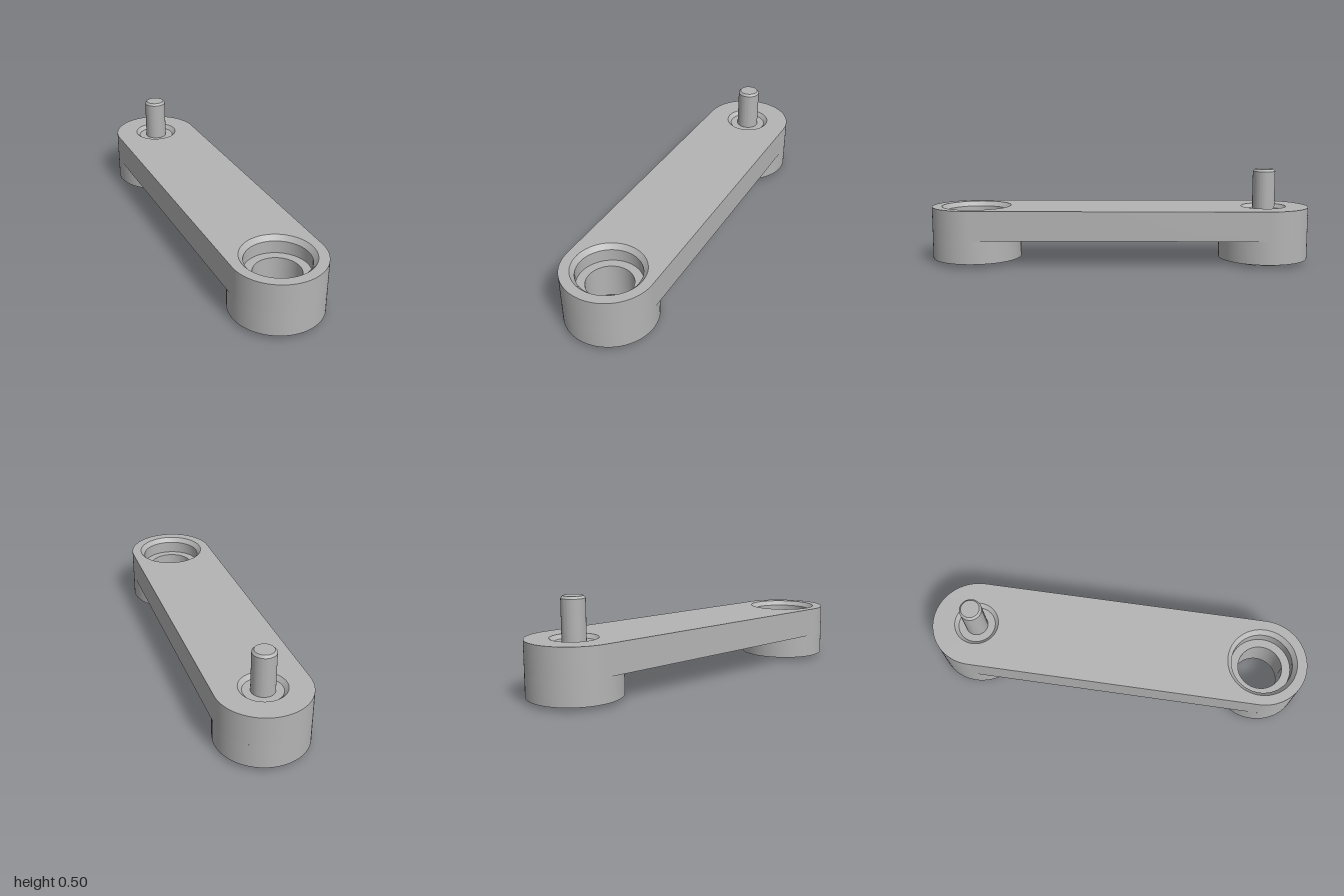
import * as THREE from 'three';
import { toCreasedNormals } from 'three/addons/utils/BufferGeometryUtils.js';

const END = { x: 0.2, z: 0.76 }; // pin end at (+x, -z), socket end mirrored
const R = 0.24;
const SEG = 64;

export function createModel() {
  const model = new THREE.Group();
  model.name = 'crankArm';
  const metal = new THREE.MeshStandardMaterial({ color: 0xb4b4b4 });
  metal.name = 'grey metal';

  const add = (parent, name, geometry) => {
    const mesh = new THREE.Mesh(toCreasedNormals(geometry, 0.4), metal);
    mesh.name = name;
    parent.add(mesh);
    return mesh;
  };
  const lathe = (parent, name, points) =>
    add(parent, name, new THREE.LatheGeometry(points.map(p => new THREE.Vector2(...p)), SEG));
  // Extrude a plan outline (shape y = -z) upward from y0
  const slab = (shape, y0, height) =>
    new THREE.ExtrudeGeometry(shape, { depth: height, bevelEnabled: false, curveSegments: SEG / 2 })
      .rotateX(-Math.PI / 2).translate(0, y0, 0);

  // Arm plate with rounded ends and two openings
  const th = Math.atan2(END.z, END.x);
  const plan = new THREE.Shape();
  plan.absarc(END.x, END.z, R, th - Math.PI / 2, th + Math.PI / 2, false);
  plan.absarc(-END.x, -END.z, R, th + Math.PI / 2, th + Math.PI * 1.5, false);
  plan.closePath();
  for (const [s, r] of [[1, 0.12], [-1, 0.1875]]) {
    const hole = new THREE.Path();
    hole.absarc(s * END.x, s * END.z, r, 0, Math.PI * 2, true);
    plan.holes.push(hole);
  }
  add(model, 'armPlate', slab(plan, 0.145, 0.157));

  // Socket end: boss with a chamfered, stepped through hole
  const socket = new THREE.Group();
  socket.name = 'socketEnd';
  socket.position.set(-END.x, 0, END.z);
  lathe(socket, 'socketBoss', [[0.12, 0.02], [R, 0.02], [R, 0.145]]);
  lathe(socket, 'socketBore', [[0.1875, 0.302], [0.165, 0.277], [0.165, 0.21], [0.12, 0.21], [0.12, 0.02]]);
  model.add(socket);

  // Pin end: boss, countersink and upright pin
  const pinEnd = new THREE.Group();
  pinEnd.name = 'pinEnd';
  pinEnd.position.set(END.x, 0, -END.z);
  lathe(pinEnd, 'pinBoss', [[0.16, 0.05], [0.16, 0.02], [R, 0.02], [R, 0.145]]);
  lathe(pinEnd, 'countersink', [[0.12, 0.302], [0.1, 0.282], [0.06, 0.282]]);
  lathe(pinEnd, 'pin', [[0.06, 0.282], [0.06, 0.493], [0.049, 0.505], [0, 0.505]]);

  // Slotted screw head under the boss
  const head = new THREE.Group();
  head.name = 'screwHead';
  head.rotation.y = -Math.PI / 6;
  const a = Math.asin(0.015 / 0.16);
  const half = new THREE.Shape();
  half.absarc(0, 0, 0.16, a, Math.PI - a, false);
  half.closePath();
  for (const turn of [0, Math.PI]) add(head, 'headHalf', slab(half, 0, 0.04)).rotation.y = turn;
  add(head, 'slotFloor', new THREE.CylinderGeometry(0.16, 0.16, 0.02, SEG).translate(0, 0.05, 0));
  pinEnd.add(head);
  model.add(pinEnd);

  return model;
}
